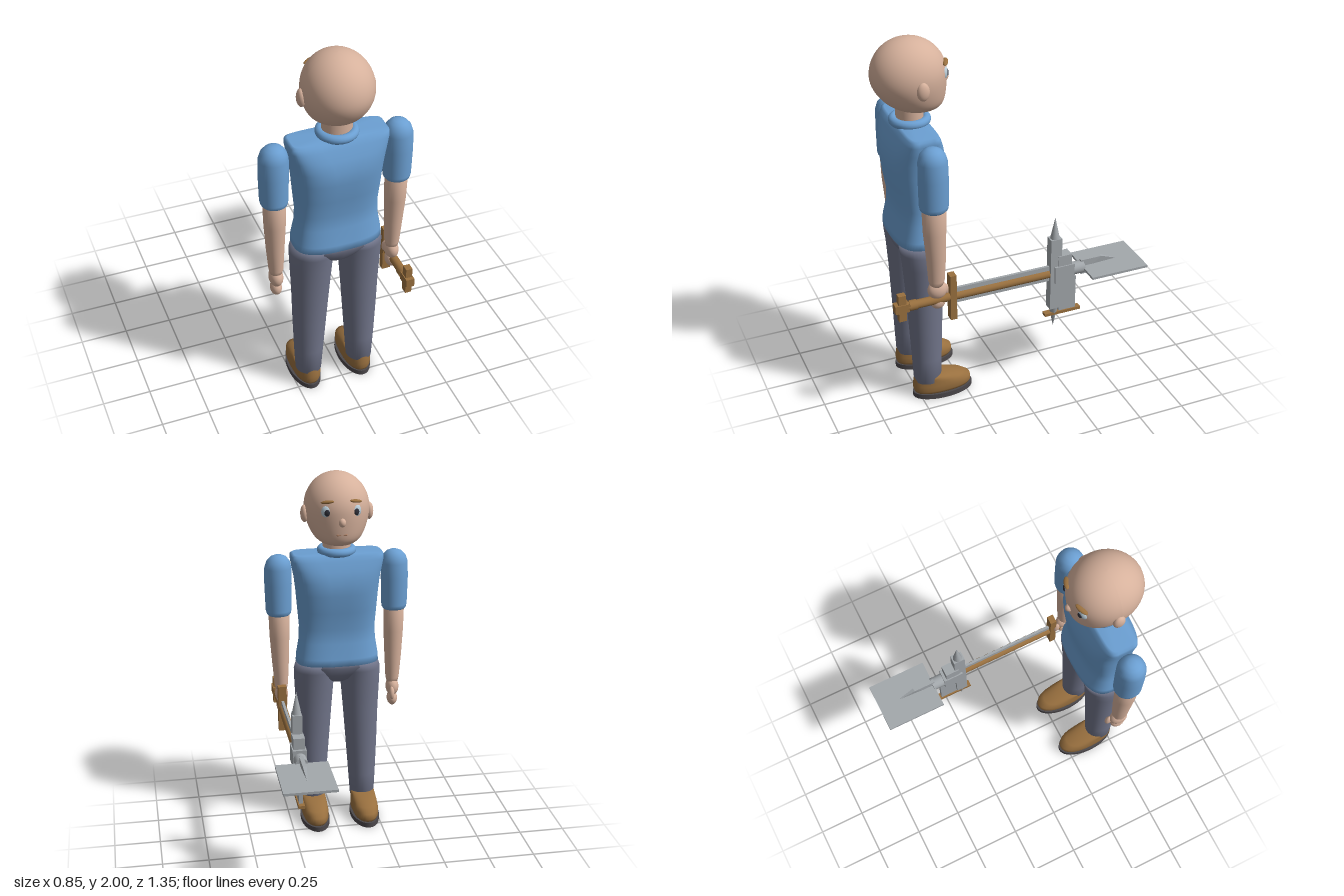
import * as THREE from 'three';

const mat = (name, color) => new THREE.MeshStandardMaterial({ name, color });

// Closed skin over horizontal rings [y, cx, cz, rx, rz, squareness]
function loft(rings, n = 40) {
  const first = rings[0], last = rings[rings.length - 1];
  const cap = (r) => [r[0], r[1], r[2], 0, 0, 2];
  const all = [cap(first), ...rings, cap(last)];
  const pos = [], idx = [];
  const signedPow = (v, e) => Math.sign(v) * Math.pow(Math.abs(v), e);
  all.forEach(([y, cx, cz, rx, rz, p = 2]) => {
    for (let j = 0; j < n; j++) {
      const a = (j / n) * Math.PI * 2;
      pos.push(cx + rx * signedPow(Math.cos(a), 2 / p), y, cz + rz * signedPow(Math.sin(a), 2 / p));
    }
  });
  for (let i = 0; i < all.length - 1; i++) {
    for (let j = 0; j < n; j++) {
      const a = i * n + j, b = i * n + (j + 1) % n;
      idx.push(a, a + n, b, b, a + n, b + n);
    }
  }
  const g = new THREE.BufferGeometry();
  g.setAttribute('position', new THREE.Float32BufferAttribute(pos, 3));
  g.setIndex(idx);
  g.computeVertexNormals();
  return g;
}

function add(parent, name, geometry, material, x = 0, y = 0, z = 0) {
  const m = new THREE.Mesh(geometry, material);
  m.name = name;
  m.position.set(x, y, z);
  parent.add(m);
  return m;
}

const ball = (rx, ry, rz) => new THREE.SphereGeometry(1, 24, 18).scale(rx, ry, rz);
const box = (x, y, z) => new THREE.BoxGeometry(x, y, z);
const rodZ = (r, len, sides = 20) => new THREE.CylinderGeometry(r, r, len, sides).rotateX(Math.PI / 2);

export function createModel() {
  const skin = mat('skin', 0xd6b19c);
  const shirt = mat('shirt blue', 0x6b9fd2);
  const trousers = mat('trouser grey', 0x71758a);
  const brown = mat('brown', 0x99703f);
  const sole = mat('sole', 0x4c484b);
  const metal = mat('metal', 0xa3a8ac);
  const eyeWhite = mat('eye', 0xb9cbd6);
  const pupil = mat('pupil', 0x2e2f38);
  const lip = mat('lip', 0xc08f72);

  const model = new THREE.Group();
  model.name = 'workerWithTool';

  // Person, facing -z
  const person = new THREE.Group();
  person.name = 'person';
  person.position.set(-0.033, 0, 0.453);
  model.add(person);

  // Head: sphere with the jaw pushed forward
  const head = new THREE.SphereGeometry(1, 48, 36);
  const p = head.attributes.position;
  for (let i = 0; i < p.count; i++) {
    const y = p.getY(i), t = Math.max(0, -y), w = 1 + 0.35 * t ** 4;
    p.setXYZ(i, p.getX(i) * 0.174 * w, y * (y > 0 ? 0.185 : 0.195), p.getZ(i) * 0.19 * w - 0.06 * t * t);
  }
  head.computeVertexNormals();
  add(person, 'head', head, skin, 0, 1.815, 0);
  add(person, 'neck', new THREE.CylinderGeometry(0.078, 0.075, 0.13, 32).scale(1, 1, 0.9), skin, 0, 1.61, 0);
  add(person, 'nose', ball(0.019, 0.024, 0.022), skin, 0, 1.77, -0.185);
  add(person, 'mouth', new THREE.CapsuleGeometry(0.009, 0.045, 6, 12).rotateZ(Math.PI / 2), lip, 0, 1.703, -0.172);
  for (const s of [-1, 1]) {
    add(person, 'ear', ball(0.022, 0.047, 0.032), skin, s * 0.174, 1.785, -0.015);
    add(person, 'eye', ball(0.029, 0.034, 0.02), eyeWhite, s * 0.078, 1.825, -0.155).rotation.y = s * -0.4;
    add(person, 'pupil', ball(0.015, 0.018, 0.008), pupil, s * 0.078, 1.822, -0.172).rotation.y = s * -0.4;
    add(person, 'eyebrow', ball(0.036, 0.009, 0.014), brown, s * 0.075, 1.878, -0.165).rotation.set(0, s * -0.4, s * -0.15);
  }

  // Shirt
  add(person, 'torso', loft([
    [0.935, 0, 0, 0.2, 0.11, 2.8],
    [0.947, 0, 0, 0.228, 0.134, 2.8],
    [0.985, 0, 0, 0.225, 0.132, 2.8],
    [1.07, 0, 0, 0.211, 0.112, 2.8],
    [1.15, 0, 0, 0.208, 0.108, 2.8],
    [1.25, 0, 0, 0.216, 0.125, 2.8],
    [1.35, 0, 0, 0.224, 0.137, 2.8],
    [1.42, 0, 0, 0.231, 0.138, 3],
    [1.48, 0, 0, 0.242, 0.12, 3.6],
    [1.53, 0, 0, 0.25, 0.097, 5],
    [1.555, 0, 0, 0.249, 0.083, 6],
    [1.565, 0, 0, 0.235, 0.07, 6],
  ], 56), shirt);
  add(person, 'collar', new THREE.TorusGeometry(0.083, 0.023, 14, 40).rotateX(Math.PI / 2), shirt, 0, 1.575, 0);

  // Hips
  add(person, 'hips', loft([
    [0.83, 0, 0, 0.06, 0.06],
    [0.85, 0, 0, 0.115, 0.085],
    [0.885, 0, 0, 0.165, 0.112],
    [0.93, 0, 0, 0.215, 0.128, 2.6],
    [0.955, 0, 0, 0.215, 0.125, 2.6],
  ]), trousers);

  for (const s of [-1, 1]) {
    // Arms
    add(person, 'sleeve', loft([
      [1.225, s * 0.319, 0, 0.058, 0.058], [1.235, s * 0.319, 0, 0.066, 0.07],
      [1.255, s * 0.32, 0, 0.07, 0.074], [1.4, s * 0.32, 0, 0.074, 0.075],
      [1.49, s * 0.319, 0, 0.073, 0.073], [1.525, s * 0.318, 0, 0.063, 0.063],
      [1.548, s * 0.317, 0, 0.044, 0.044], [1.558, s * 0.316, 0, 0.022, 0.022],
    ]), shirt);
    add(person, 'forearm', loft([
      [0.79, s * 0.314, -0.005, 0.03, 0.033], [0.82, s * 0.314, -0.005, 0.037, 0.042],
      [0.95, s * 0.316, -0.005, 0.046, 0.05], [1.1, s * 0.318, 0, 0.054, 0.058],
      [1.25, s * 0.319, 0, 0.057, 0.062],
    ]), skin);
    add(person, 'palm', ball(0.036, 0.053, 0.051), skin, s * 0.314, 0.762, -0.008);
    add(person, 'fingers', ball(0.029, 0.042, 0.04), skin, s * 0.314, 0.692, -0.01);
    add(person, 'thumb', ball(0.015, 0.036, 0.018), skin, s * 0.302, 0.74, -0.062).rotation.x = 0.2;

    // Legs
    add(person, 'leg', loft([
      [0.1, s * 0.144, 0, 0.068, 0.074], [0.25, s * 0.142, 0, 0.077, 0.08],
      [0.45, s * 0.138, 0, 0.088, 0.088], [0.65, s * 0.133, 0, 0.098, 0.097],
      [0.82, s * 0.13, 0, 0.109, 0.108], [0.9, s * 0.128, 0, 0.113, 0.118],
      [0.945, s * 0.124, 0, 0.103, 0.122],
    ]), trousers);

    // Shoes
    add(person, 'shoe', loft([
      [0.028, s * 0.144, -0.08, 0.066, 0.153, 2.3], [0.045, s * 0.144, -0.081, 0.073, 0.161, 2.3],
      [0.075, s * 0.144, -0.079, 0.073, 0.16, 2.3], [0.1, s * 0.144, -0.063, 0.07, 0.14, 2.2],
      [0.12, s * 0.144, -0.03, 0.068, 0.105], [0.137, s * 0.144, -0.002, 0.066, 0.072],
    ]), brown);
    add(person, 'sole', new THREE.CylinderGeometry(0.08, 0.08, 0.028, 48).scale(1, 1, 2.08), sole, s * 0.144, 0.014, -0.083);
  }

  // Multi-purpose tool held level, pointing to -z
  const tool = new THREE.Group();
  tool.name = 'tool';
  tool.position.set(0.287, 0.707, 0);
  model.add(tool);
  add(tool, 'handle', rodZ(0.023, 0.79), brown, 0, 0, 0.215);
  add(tool, 'handleRing', rodZ(0.027, 0.04), brown, 0, 0, 0.58);
  add(tool, 'buttBlock', box(0.044, 0.046, 0.075), brown, 0, 0, 0.64);
  add(tool, 'buttBar', box(0.034, 0.15, 0.04), brown, 0, 0, 0.638);
  add(tool, 'guardBar', box(0.046, 0.26, 0.034), brown, 0, 0, 0.368);
  add(tool, 'handleRib', box(0.014, 0.088, 0.52), metal, 0, 0.003, 0.09);

  // Upright head with a spike at each end
  add(tool, 'uprightHead', box(0.05, 0.42, 0.062), metal, 0, 0, -0.2);
  for (const s of [-1, 1]) {
    const spike = add(tool, 'endSpike', new THREE.ConeGeometry(0.025, 0.122, 12), metal, 0, s * 0.27, -0.2);
    if (s < 0) spike.rotation.x = Math.PI;
  }
  add(tool, 'hub', box(0.072, 0.096, 0.11), metal, 0, 0, -0.246);
  add(tool, 'hubCap', box(0.06, 0.06, 0.076), metal, 0, 0.078, -0.248);
  add(tool, 'socket', rodZ(0.034, 0.07), metal, 0, 0, -0.33);
  add(tool, 'lowerPlate', box(0.02, 0.2, 0.095), metal, 0, -0.145, -0.275);
  add(tool, 'lowerStrip', box(0.034, 0.016, 0.205), brown, 0, -0.248, -0.248);

  // Upright point: thin outline extruded across x
  const outline = new THREE.Shape([[0.35, -0.042], [0.47, -0.042], [0.57, 0], [0.47, 0.042], [0.35, 0.042]]
    .map(([x, y]) => new THREE.Vector2(x, y)));
  const point = new THREE.ExtrudeGeometry(outline, { depth: 0.02, bevelEnabled: false });
  point.translate(0, 0, -0.01).rotateY(Math.PI / 2);
  const q = point.attributes.position;
  for (let i = 0; i < q.count; i++) if (q.getZ(i) < -0.55) q.setX(i, q.getX(i) * 0.1);
  point.computeVertexNormals();
  add(tool, 'point', point, metal);
  add(tool, 'shovelBlade', box(0.27, 0.013, 0.32), metal, 0, 0, -0.517);

  return model;
}
